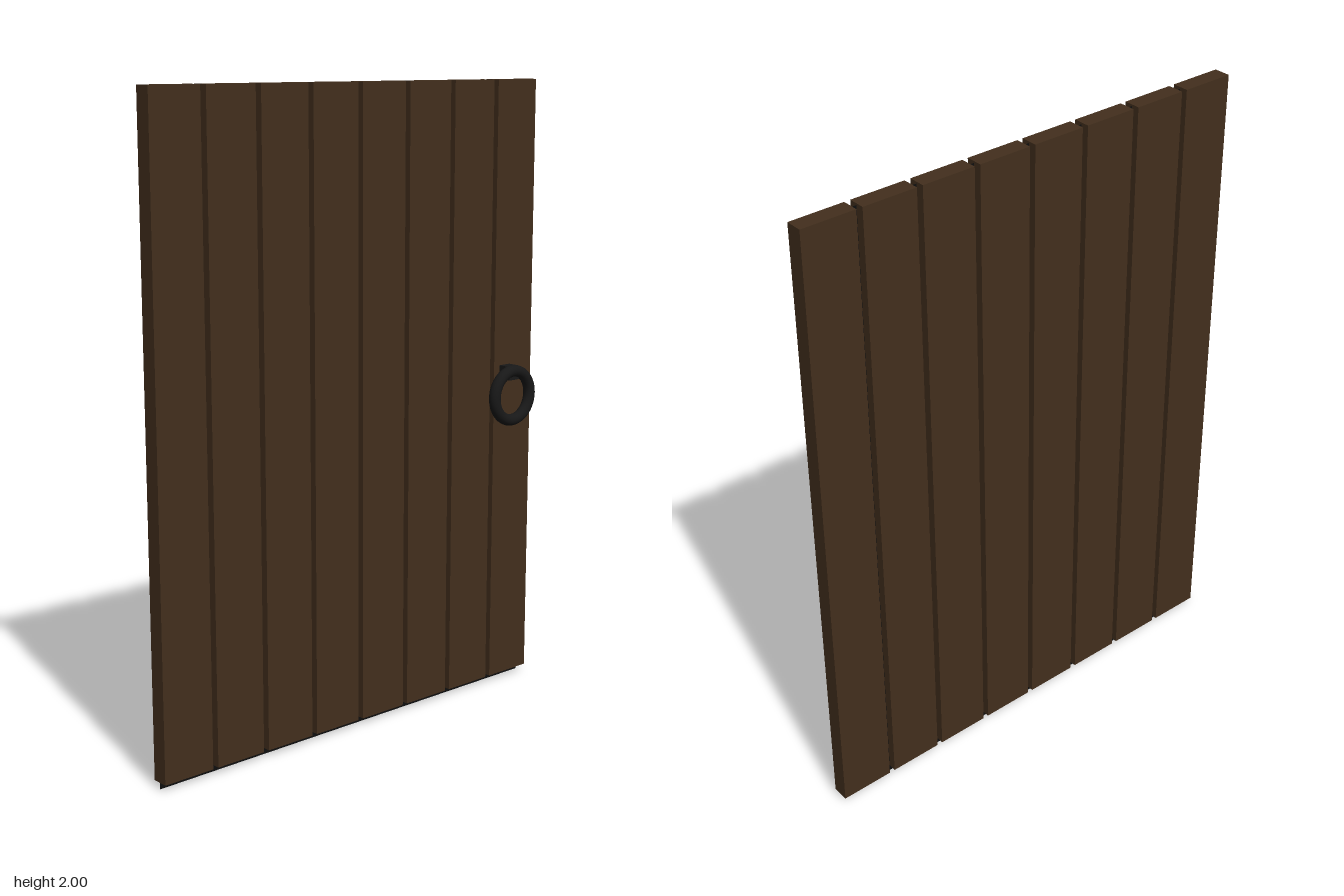
import * as THREE from 'three';

export function createModel() {
  const door = new THREE.Group();
  door.name = 'plankDoor';

  const wood = new THREE.MeshStandardMaterial({ color: 0x432f1d });
  const iron = new THREE.MeshStandardMaterial({ color: 0x181818 });
  const dark = new THREE.MeshStandardMaterial({ color: 0x0e0e0e, side: THREE.DoubleSide });

  const add = (name, geometry, material, x, y, z) => {
    const mesh = new THREE.Mesh(geometry, material);
    mesh.name = name;
    mesh.position.set(x, y, z);
    door.add(mesh);
    return mesh;
  };

  // Eight upright planks with narrow gaps
  const count = 8, width = 0.172, pitch = 0.191;
  const plank = new THREE.BoxGeometry(width, 1.98, 0.053);
  for (let i = 0; i < count; i++) {
    add(`plank${i + 1}`, plank, wood, (i - (count - 1) / 2) * pitch, 1.01, -0.0315);
  }

  // Thin dark sheet inside the door, seen through the gaps and below the planks
  add('backingSheet', new THREE.PlaneGeometry(1.495, 1.995), dark, -0.007, 0.9975, -0.0315);

  // Ring handle hanging from a short post
  add('handleRing', new THREE.TorusGeometry(0.081, 0.019, 16, 48), iron, 0.623, 0.988, 0.039);
  add('handlePost', new THREE.BoxGeometry(0.045, 0.045, 0.046), iron, 0.631, 1.061, 0.017);

  return door;
}
